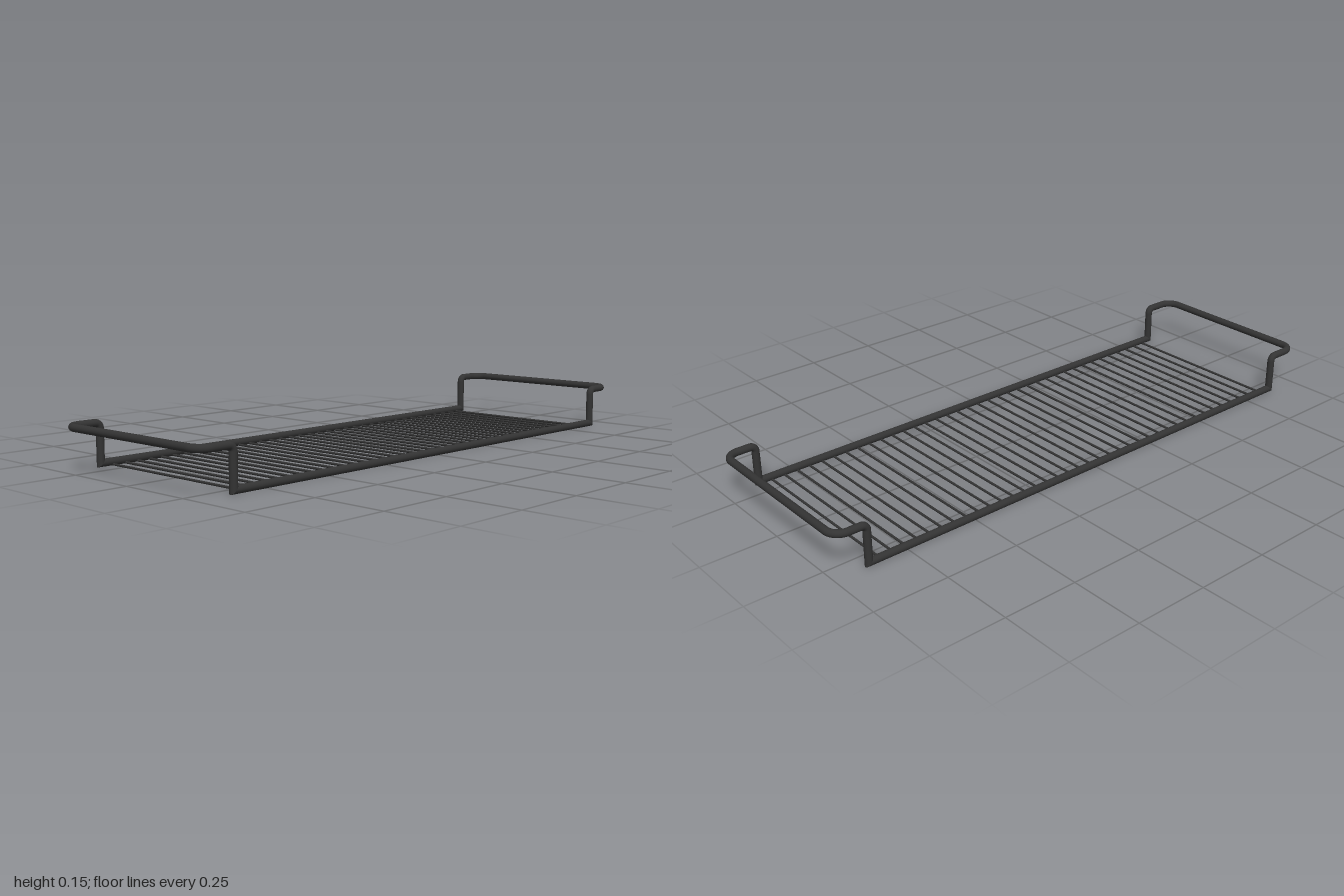
import * as THREE from 'three';

const R = 0.0125;          // frame tube radius
const Z = 0.3075;          // side rail centre line
const TOP = 0.138;         // handle height
const POST = { '-1': -0.87, '1': 0.883 }; // post position at each end

// Polyline with rounded corners; radii[i] belongs to inner point i + 1
function roundedPath(points, radii) {
  const path = new THREE.CurvePath();
  let from = points[0];
  for (let i = 1; i < points.length - 1; i++) {
    const p = points[i], r = radii[i - 1], k = 0.5523;
    const inDir = points[i - 1].clone().sub(p).normalize();
    const outDir = points[i + 1].clone().sub(p).normalize();
    const a = p.clone().addScaledVector(inDir, r);
    const b = p.clone().addScaledVector(outDir, r);
    path.add(new THREE.LineCurve3(from, a));
    path.add(new THREE.CubicBezierCurve3(a,
      a.clone().addScaledVector(inDir, -r * k), b.clone().addScaledVector(outDir, -r * k), b));
    from = b;
  }
  path.add(new THREE.LineCurve3(from, points[points.length - 1]));
  return path;
}

// Raised end handle: post up, bend out, across and back down
function handleGeometry(s) {
  const xp = POST[s], xe = s * (1 - R);
  const v = (x, y, z) => new THREE.Vector3(x, y, z);
  const path = roundedPath([
    v(xp, R, Z), v(xp, TOP, Z), v(xe, TOP, Z),
    v(xe, TOP, -Z), v(xp, TOP, -Z), v(xp, R, -Z),
  ], [0.018, 0.045, 0.045, 0.018]);
  const geo = new THREE.TubeGeometry(path, 360, R, 16, false);
  // Mitre both feet against the side rails
  const pos = geo.attributes.position;
  for (let i = 0; i < pos.count; i++) {
    if (Math.abs(pos.getY(i) - R) < 1e-4) pos.setY(i, R - s * (pos.getX(i) - xp));
  }
  return geo;
}

// Long side rail with mitred ends
function railGeometry() {
  const geo = new THREE.CylinderGeometry(R, R, 2, 16, 1, true).rotateZ(Math.PI / 2);
  const pos = geo.attributes.position;
  for (let i = 0; i < pos.count; i++) {
    const s = Math.sign(pos.getX(i));
    pos.setX(i, POST[s] - s * pos.getY(i));
  }
  return geo.translate(0, R, 0);
}

export function createModel() {
  const model = new THREE.Group();
  model.name = 'wireRack';
  const metal = new THREE.MeshStandardMaterial({ color: 0x333333 });
  const add = (name, geo, parent = model) => {
    const mesh = new THREE.Mesh(geo, metal);
    mesh.name = name;
    parent.add(mesh);
    return mesh;
  };

  add('leftHandle', handleGeometry(1));
  add('rightHandle', handleGeometry(-1));

  const rail = railGeometry();
  add('frontRail', rail).position.z = Z;
  add('backRail', rail).position.z = -Z;

  // Thin cross rods of the rack floor, ending at the inner faces of the rails
  const rods = new THREE.Group();
  rods.name = 'crossRods';
  model.add(rods);
  const rodGeo = new THREE.CylinderGeometry(0.004, 0.004, 0.595, 12).rotateX(Math.PI / 2);
  const count = 37;
  for (let i = 0; i < count; i++) {
    const x = THREE.MathUtils.lerp(-0.831, 0.84, i / (count - 1));
    add('crossRod', rodGeo, rods).position.set(x, 0.005, 0);
  }
  return model;
}
